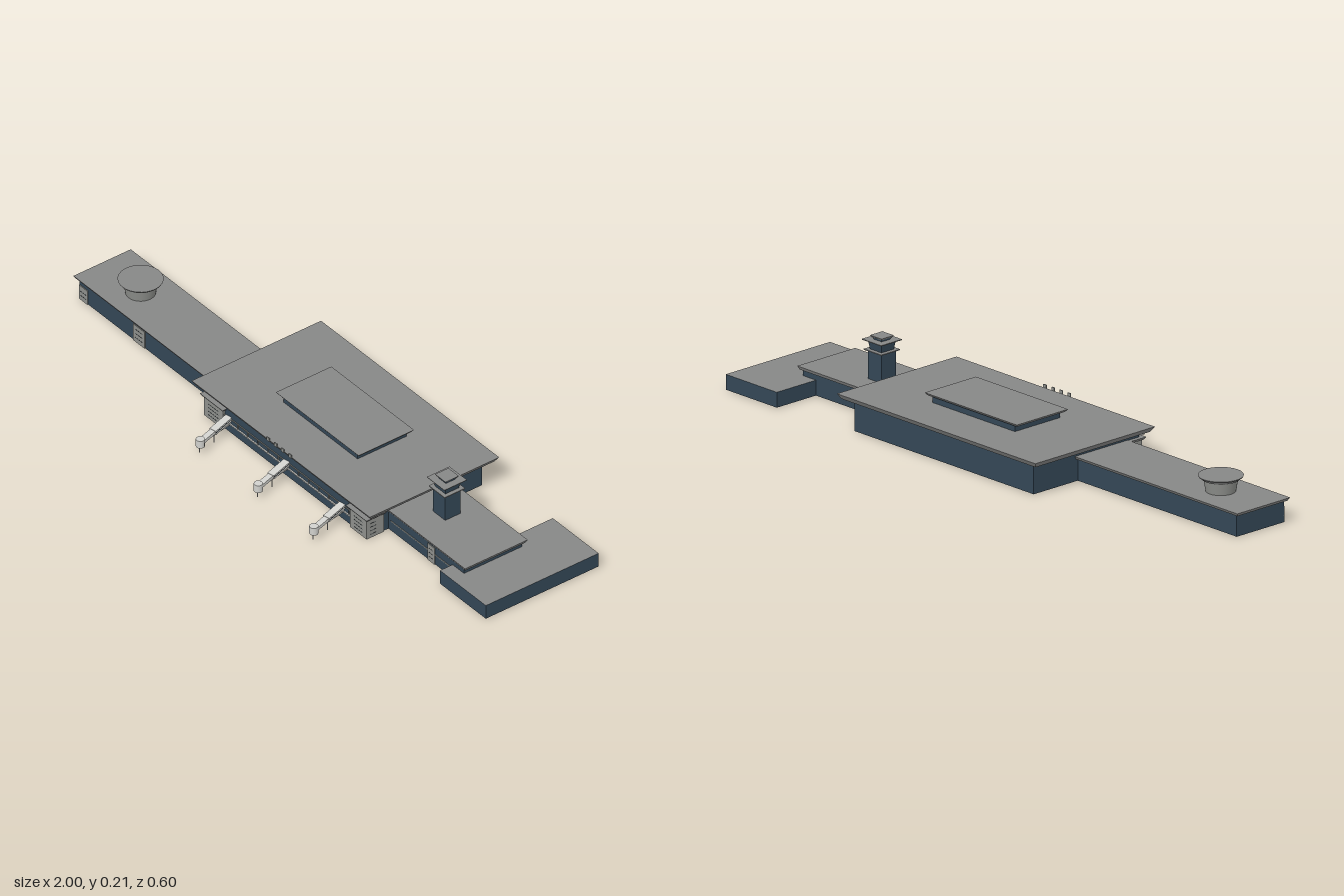
import * as THREE from 'three';

export function createModel() {
  const model = new THREE.Group();
  const mat = (name, color) => {
    const m = new THREE.MeshStandardMaterial({ color });
    m.name = name;
    return m;
  };
  const glass = mat('blue glass', 0x344756);
  glass.side = THREE.DoubleSide;
  const roof = mat('roof grey', 0x868786);
  const panel = mat('panel grey', 0x8f918d);
  const pale = mat('pale metal', 0xd2d2ce);
  const dark = mat('dark line', 0x2c3238);

  const add = (name, geo, material, parent = model) => {
    const m = new THREE.Mesh(geo, material);
    m.name = name;
    parent.add(m);
    return m;
  };
  // Box given by its limits; inset shrinks the bottom on every side
  const block = (name, [x0, x1], [y0, y1], [z0, z1], material, inset = 0, parent = model) => {
    const g = new THREE.BoxGeometry(x1 - x0, y1 - y0, z1 - z0);
    const p = g.attributes.position;
    for (let i = 0; i < p.count; i++) {
      if (p.getY(i) < 0) {
        p.setX(i, p.getX(i) - Math.sign(p.getX(i)) * inset);
        p.setZ(i, p.getZ(i) - Math.sign(p.getZ(i)) * inset);
      }
    }
    g.computeVertexNormals();
    g.translate((x0 + x1) / 2, (y0 + y1) / 2, (z0 + z1) / 2);
    return add(name, g, material, parent);
  };
  // Square bar between two points of its parent
  const bar = (name, a, b, w, h, material, parent) => {
    const A = new THREE.Vector3(...a), B = new THREE.Vector3(...b);
    const m = add(name, new THREE.BoxGeometry(w, h, A.distanceTo(B)), material, parent);
    m.position.copy(A).add(B).multiplyScalar(0.5);
    m.quaternion.setFromRotationMatrix(new THREE.Matrix4().lookAt(B, A, new THREE.Vector3(0, 1, 0)));
    return m;
  };

  // Main hall: four walls, open below, under stepped flared roofs
  const hall = block('mainHall', [-0.30, 0.472], [0, 0.1], [-0.268, 0.157], glass);
  const index = Array.from(hall.geometry.index.array);
  hall.geometry.setIndex([...index.slice(0, 12), ...index.slice(24)]);
  hall.geometry.clearGroups();
  block('mainRoof', [-0.34, 0.515], [0.097, 0.113], [-0.299, 0.184], roof, 0.01);
  block('clerestory', [-0.09, 0.265], [0.113, 0.135], [-0.147, 0.035], glass);
  block('upperRoof', [-0.112, 0.285], [0.134, 0.142], [-0.16, 0.047], roof, 0.006);

  // Wings and the low end block
  block('westWing', [-0.985, -0.29], [0, 0.07], [-0.09, 0.1], glass);
  block('westWingRoof', [-1, -0.29], [0.068, 0.078], [-0.102, 0.112], roof, 0.006);
  block('eastWing', [0.36, 0.835], [0, 0.067], [-0.135, 0.081], glass);
  block('eastWingRoof', [0.46, 0.85], [0.066, 0.077], [-0.145, 0.089], roof, 0.005);
  block('endBlock', [0.78, 1], [0, 0.048], [-0.293, 0.128], [glass, glass, roof, glass, glass, glass]);

  // Round rooftop lounge
  const lounge = new THREE.Group();
  lounge.name = 'roundLounge';
  lounge.position.set(-0.815, 0, 0.005);
  model.add(lounge);
  const ring = (name, rTop, rBottom, y0, y1, material) => {
    const g = new THREE.CylinderGeometry(rTop, rBottom, y1 - y0, 32);
    g.translate(0, (y0 + y1) / 2, 0);
    add(name, g, material, lounge);
  };
  ring('loungeWall', 0.052, 0.045, 0.077, 0.117, panel);
  ring('loungeEaves', 0.062, 0.056, 0.116, 0.125, roof);
  ring('loungeRoof', 0.068, 0.066, 0.124, 0.128, roof);

  // Control tower
  const tower = new THREE.Group();
  tower.name = 'controlTower';
  tower.position.set(0.596, 0, -0.041);
  model.add(tower);
  const tier = (name, r, y0, y1, material, inset = 0) =>
    block(name, [-r, r], [y0, y1], [-r, r], material, inset, tower);
  tier('towerShaft', 0.029, 0.07, 0.168, glass);
  tier('towerBalcony', 0.038, 0.167, 0.17, roof);
  tier('towerCab', 0.029, 0.17, 0.198, glass, 0.004);
  tier('towerRoof', 0.042, 0.198, 0.201, roof, 0.001);
  tier('towerCapWall', 0.018, 0.201, 0.208, glass);
  tier('towerCap', 0.025, 0.207, 0.213, roof, 0.004);

  // Stair blocks at the front corners, standing just proud of the hall's ends
  for (const [x0, x1] of [[-0.304, -0.215], [0.395, 0.476]]) {
    const g = new THREE.Group();
    g.name = 'stairBlock';
    model.add(g);
    block('stairWalls', [x0, x1], [0, 0.07], [0.1, 0.165], panel, 0, g);
    block('stairRoof', [x0 - 0.01, x1 + 0.01], [0.068, 0.077], [0.095, 0.174], roof, 0.006, g);
    for (let y = 0.012; y < 0.06; y += 0.013) {
      block('sideGroove', [x0 - 0.0005, x1 + 0.0005], [y, y + 0.0015], [0.13, 0.15], dark, 0, g);
      block('frontGroove', [x0 + 0.02, x1 - 0.02], [y, y + 0.0015], [0.16, 0.1655], dark, 0, g);
    }
  }

  // Small entrance panels on the wing fronts
  for (const [x, w, h, z] of [[-0.965, 0.04, 0.05, 0.1], [-0.698, 0.055, 0.06, 0.1], [0.68, 0.032, 0.06, 0.081]]) {
    block('entrancePanel', [x - w / 2, x + w / 2], [0, h], [z - 0.005, z + 0.003], panel);
    for (const y of [0.015, 0.03, 0.045]) {
      if (y < h - 0.01) block('entranceLine', [x - w / 3, x + w / 3], [y, y + 0.0015], [z, z + 0.0035], dark);
    }
  }

  // Pale bands and mullions along the front
  block('hallBand', [-0.215, 0.395], [0.03, 0.034], [0.157, 0.161], pale);
  block('hallUpperBand', [-0.215, 0.395], [0.05, 0.0525], [0.157, 0.16], panel);
  block('eastBand', [0.485, 0.78], [0.034, 0.037], [0.08, 0.083], panel);
  for (let i = 0; i <= 12; i++) {
    const x = -0.2 + i * 0.0485;
    block('mullion', [x - 0.001, x + 0.001], [0.03, 0.052], [0.157, 0.16], panel);
  }

  // Boarding bridges: corridor sloping down to a round cab on legs
  for (const x of [-0.195, 0.083, 0.35]) {
    const g = new THREE.Group();
    g.name = 'boardingBridge';
    g.position.x = x;
    model.add(g);
    bar('corridor', [0, 0.05, 0.157], [0.016, 0.042, 0.23], 0.024, 0.014, pale, g);
    bar('innerCorridor', [0.015, 0.0425, 0.225], [0.027, 0.037, 0.28], 0.019, 0.011, pale, g);
    bar('corridorWindow', [0, 0.051, 0.158], [0.016, 0.043, 0.229], 0.0246, 0.003, dark, g);
    bar('lowerBeam', [0, 0.03, 0.157], [0.026, 0.034, 0.275], 0.012, 0.004, pale, g);
    const cab = add('cab', new THREE.CylinderGeometry(0.014, 0.014, 0.026, 10), pale, g);
    cab.position.set(0.028, 0.035, 0.286);
    for (const [lx, lz, h] of [[0.028, 0.289, 0.024], [0.016, 0.226, 0.034]]) {
      const leg = add('leg', new THREE.CylinderGeometry(0.0015, 0.0015, h, 6), pale, g);
      leg.position.set(lx, h / 2, lz);
    }
  }

  // Slim upright fins on the front roof edge
  for (let i = 0; i < 4; i++) {
    const x = 0.03 + i * 0.035;
    block('roofFin', [x - 0.006, x + 0.006], [0.11, 0.123], [0.184, 0.187], panel);
  }
  return model;
}
